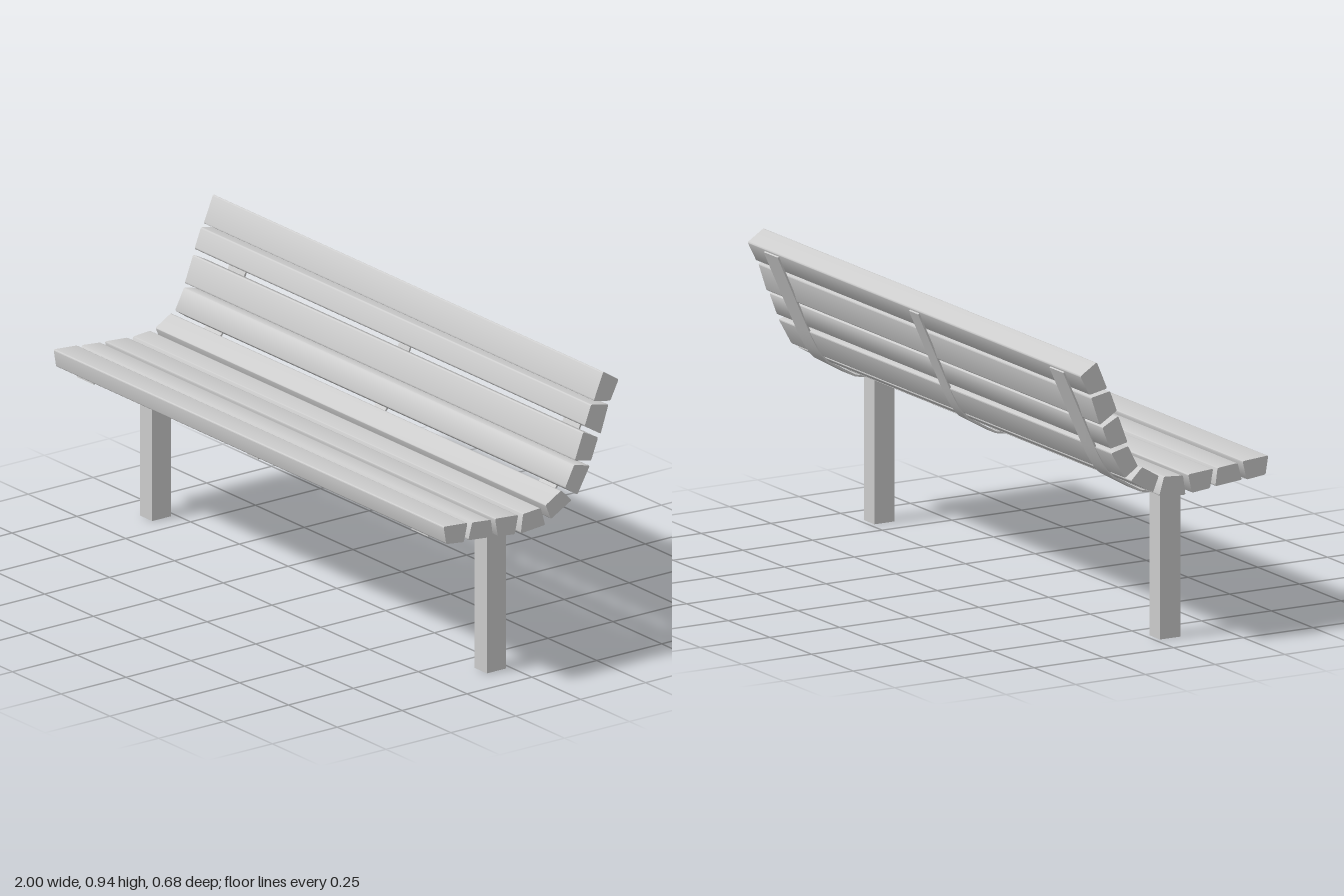
import * as THREE from 'three';
import { toCreasedNormals } from 'three/addons/utils/BufferGeometryUtils.js';

const material = new THREE.MeshStandardMaterial({ color: 0xcccccc });

// Extrudes a side profile drawn in (z, y) across the width, centred on x = 0
function extrudeAcross(shape, width, curveSegments) {
  const geo = new THREE.ExtrudeGeometry(shape, { depth: width, bevelEnabled: false, curveSegments });
  geo.translate(0, 0, -width / 2);
  geo.rotateY(-Math.PI / 2);
  return toCreasedNormals(geo, 0.8);
}

// Closed polygon with softened corners
function softPolygon(corners, radius) {
  const pts = corners.map(([z, y]) => new THREE.Vector2(z, y));
  const shape = new THREE.Shape();
  pts.forEach((p, i) => {
    const prev = pts[(i + pts.length - 1) % pts.length];
    const next = pts[(i + 1) % pts.length];
    const a = p.clone().add(prev.clone().sub(p).setLength(radius));
    const b = p.clone().add(next.clone().sub(p).setLength(radius));
    if (i === 0) shape.moveTo(a.x, a.y);
    else shape.lineTo(a.x, a.y);
    shape.quadraticCurveTo(p.x, p.y, b.x, b.y);
  });
  shape.closePath();
  return shape;
}

// Thin band following the underside of the seat and the rear of the backrest
function strapShape(thickness) {
  const path = new THREE.Path();
  path.moveTo(0.325, 0.502);
  path.lineTo(0.04, 0.475);
  path.quadraticCurveTo(-0.02, 0.47, -0.06, 0.482);
  path.lineTo(-0.155, 0.536);
  path.quadraticCurveTo(-0.188, 0.565, -0.225, 0.648);
  path.lineTo(-0.336, 0.893);
  const outer = path.getPoints(8);
  const inner = outer.map((p, i) => {
    const a = outer[Math.max(i - 1, 0)];
    const b = outer[Math.min(i + 1, outer.length - 1)];
    const t = b.clone().sub(a).normalize();
    return new THREE.Vector2(p.x + t.y * thickness, p.y - t.x * thickness);
  });
  return new THREE.Shape([...outer, ...inner.reverse()]);
}

// Slat sections as (z, y) corners, from the front of the seat to the top of the back
const slatSections = [
  [[0.34, 0.567], [0.248, 0.56], [0.262, 0.5], [0.33, 0.508]],
  [[0.23, 0.557], [0.158, 0.55], [0.15, 0.493], [0.245, 0.502]],
  [[0.142, 0.55], [0.053, 0.543], [0.066, 0.483], [0.131, 0.49]],
  [[0.034, 0.542], [-0.034, 0.547], [-0.051, 0.488], [0.043, 0.48]],
  [[-0.053, 0.552], [-0.113, 0.587], [-0.153, 0.547], [-0.073, 0.502]],
  [[-0.163, 0.66], [-0.223, 0.645], [-0.175, 0.56], [-0.128, 0.592]],
  [[-0.198, 0.76], [-0.255, 0.73], [-0.228, 0.66], [-0.165, 0.673]],
  [[-0.228, 0.843], [-0.295, 0.83], [-0.265, 0.74], [-0.203, 0.778]],
  [[-0.275, 0.941], [-0.334, 0.903], [-0.302, 0.84], [-0.238, 0.853]],
];

export function createModel() {
  const bench = new THREE.Group();
  bench.name = 'bench';
  const add = (name, geo, x = 0) => {
    const mesh = new THREE.Mesh(geo, material);
    mesh.name = name;
    mesh.position.x = x;
    bench.add(mesh);
  };

  // Seat and backrest slats
  slatSections.forEach((section, i) => {
    add(i < 5 ? `seatSlat${i + 1}` : `backSlat${i - 4}`, extrudeAcross(softPolygon(section, 0.005), 2, 3));
  });

  // Metal straps: a narrow one in the middle, a wide one over each leg
  const strap = strapShape(0.006);
  add('centreStrap', extrudeAcross(strap, 0.056, 1));
  const sideStrap = extrudeAcross(strap, 0.084, 1);

  // Square posts
  const post = new THREE.BoxGeometry(0.063, 0.476, 0.073);
  post.translate(0, 0.238, 0.054);

  for (const [side, s] of [['left', 1], ['right', -1]]) {
    add(`${side}Strap`, sideStrap, s * 0.858);
    add(`${side}Leg`, post, s * 0.858);
  }
  return bench;
}
